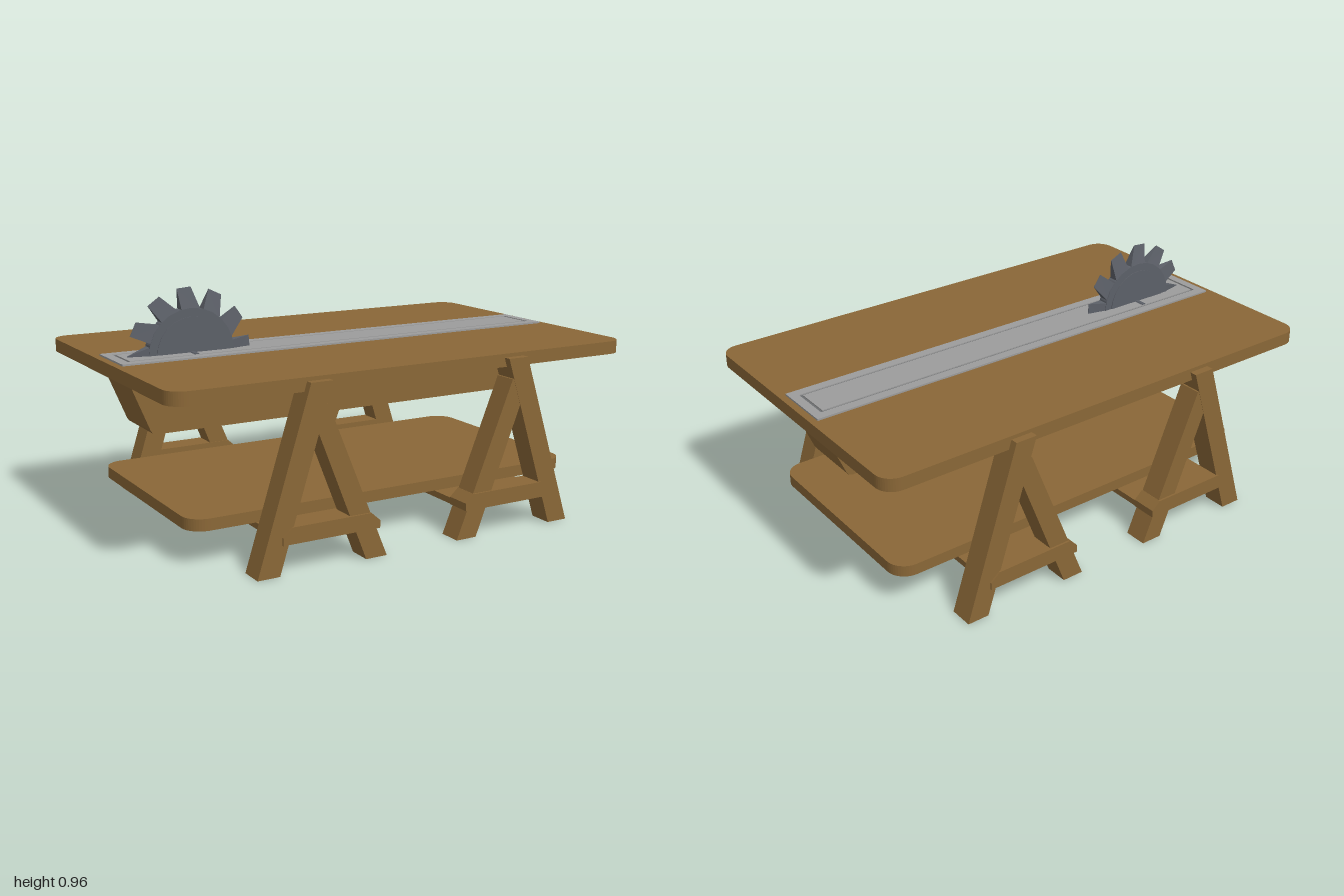
import * as THREE from 'three';

const wood = new THREE.MeshStandardMaterial({ color: 0x8a6737, flatShading: true });
const plateGrey = new THREE.MeshStandardMaterial({ color: 0x9c9c9c, flatShading: true });
const grooveGrey = new THREE.MeshStandardMaterial({ color: 0x6c6e70, flatShading: true });
const steel = new THREE.MeshStandardMaterial({ color: 0x5c6068, flatShading: true });

function add(parent, name, geometry, material) {
  const mesh = new THREE.Mesh(geometry, material);
  mesh.name = name;
  parent.add(mesh);
  return mesh;
}

function box(parent, name, material, [x0, x1], [y0, y1], [z0, z1]) {
  const mesh = add(parent, name, new THREE.BoxGeometry(x1 - x0, y1 - y0, z1 - z0), material);
  mesh.position.set((x0 + x1) / 2, (y0 + y1) / 2, (z0 + z1) / 2);
  return mesh;
}

// Side profile in x/y, extruded from z0 to z1
function profile(points, z0, z1) {
  const shape = new THREE.Shape(points.map(([x, y]) => new THREE.Vector2(x, y)));
  return new THREE.ExtrudeGeometry(shape, { depth: z1 - z0, bevelEnabled: false }).translate(0, 0, z0);
}

// Flat board with rounded corners, lying between y0 and y1
function board(hx, hz, r, y0, y1) {
  const s = new THREE.Shape();
  s.absarc(hx - r, hz - r, r, 0, Math.PI / 2);
  s.absarc(-hx + r, hz - r, r, Math.PI / 2, Math.PI);
  s.absarc(-hx + r, -hz + r, r, Math.PI, Math.PI * 1.5);
  s.absarc(hx - r, -hz + r, r, Math.PI * 1.5, Math.PI * 2);
  const g = new THREE.ExtrudeGeometry(s, { depth: y1 - y0, bevelEnabled: false, curveSegments: 6 });
  return g.rotateX(-Math.PI / 2).translate(0, y0, 0);
}

// One trestle: an A-frame at each end joined by a flat board; side = 1 or -1 mirrors it in x
function trestle(side) {
  const group = new THREE.Group();
  group.name = side > 0 ? 'leftTrestle' : 'rightTrestle';
  const flip = (pts) => (side > 0 ? pts : pts.map(([x, y]) => [-x, y]));
  const outerLeg = flip([[0.7, 0], [0.61, 0], [0.39, 0.692], [0.48, 0.692]]);
  const innerLeg = flip([[0.25, 0], [0.16, 0], [0.41, 0.61], [0.495, 0.62]]);
  const rail = flip([[0.195, 0.115], [0.6, 0.115], [0.6, 0.145], [0.56, 0.178], [0.232, 0.178], [0.195, 0.145]]);
  for (const end of [1, -1]) {
    const span = (a, b) => (end > 0 ? [a, b] : [-b, -a]);
    add(group, 'outerLeg', profile(outerLeg, ...span(0.56, 0.657)), wood);
    add(group, 'innerLeg', profile(innerLeg, ...span(0.561, 0.656)), wood);
    add(group, 'crossRail', profile(rail, ...span(0.558, 0.664)), wood);
  }
  const xs = side > 0 ? [0.197, 0.598] : [-0.598, -0.197];
  box(group, 'stretcherBoard', wood, xs, [0.116, 0.141], [-0.6, 0.6]);
  return group;
}

// Circular blade whose slanted teeth thin to an edge at the tip
function sawBlade() {
  const group = new THREE.Group();
  group.name = 'sawBlade';
  const rootR = 0.178, tipR = 0.257, half = 0.022;
  const disc = (name, r, h) =>
    add(group, name, new THREE.CylinderGeometry(r, r, h * 2, 24).rotateX(Math.PI / 2), steel);
  disc('bladeDisc', rootR, half);
  disc('bladeHub', 0.145, half + 0.003);

  const at = (r, deg) => {
    const a = THREE.MathUtils.degToRad(deg);
    return [r * Math.cos(a), r * Math.sin(a)];
  };
  const tooth = profile([at(rootR - 0.008, -12), at(tipR, 0), at(tipR, 13), at(rootR - 0.008, 15)], -half, half);
  const p = tooth.attributes.position;
  for (let i = 0; i < p.count; i++) {
    if (Math.hypot(p.getX(i), p.getY(i)) > 0.22) p.setZ(i, p.getZ(i) * 0.05);
  }
  tooth.computeVertexNormals();
  for (let k = 0; k < 12; k++) {
    add(group, 'tooth', tooth, steel).rotation.z = THREE.MathUtils.degToRad(30 * k - 2);
  }
  add(group, 'axle', new THREE.CylinderGeometry(0.012, 0.012, 0.14, 10).rotateX(Math.PI / 2), steel);
  group.position.set(-0.65, 0.708, 0);
  return group;
}

export function createModel() {
  const model = new THREE.Group();
  model.name = 'sawTable';

  add(model, 'tableTop', board(1, 0.627, 0.07, 0.655, 0.707), wood);
  add(model, 'lowerShelf', board(0.862, 0.448, 0.08, 0.141, 0.187), wood);

  // Tapered housing below the top, with softened lower ends
  const housing = [[-0.955, 0.656], [-0.87, 0.452], [-0.862, 0.44], [-0.845, 0.435],
    [0.845, 0.435], [0.862, 0.44], [0.87, 0.452], [0.955, 0.656]];
  add(model, 'bladeHousing', profile(housing, -0.122, 0.122), wood);

  // Metal insert: raised rim, groove and inner panel
  const insert = new THREE.Group();
  insert.name = 'metalInsert';
  const y = [0.7, 0.714];
  box(insert, 'grooveFloor', grooveGrey, [-0.96, 0.96], [0.7, 0.7095], [-0.11, 0.11]);
  box(insert, 'innerPanel', plateGrey, [-0.925, 0.925], y, [-0.073, 0.073]);
  for (const s of [1, -1]) {
    const span = (a, b) => (s > 0 ? [a, b] : [-b, -a]);
    box(insert, 'longRim', plateGrey, [-0.972, 0.972], y, span(0.083, 0.122));
    box(insert, 'endRim', plateGrey, span(0.936, 0.972), y, [-0.083, 0.083]);
  }
  model.add(insert);

  model.add(sawBlade(), trestle(1), trestle(-1));
  return model;
}
